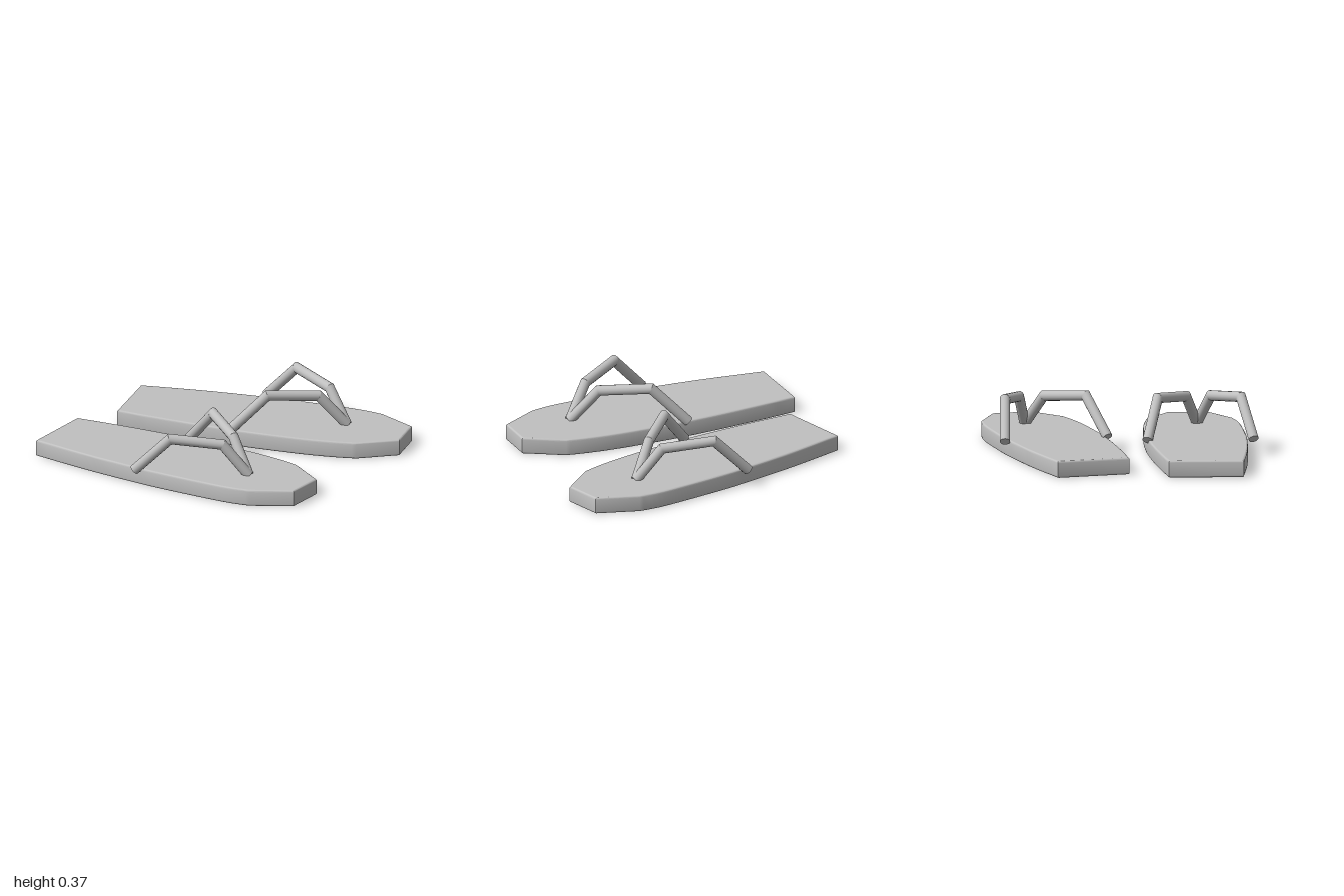
import * as THREE from 'three';
import { toCreasedNormals } from 'three/addons/utils/BufferGeometryUtils.js';

const rubber = new THREE.MeshStandardMaterial({ color: 0xc0c0c0, side: THREE.DoubleSide });
rubber.name = 'grey rubber';

const HEIGHT = 0.105, BEVEL = 0.012, STRAP_RADIUS = 0.032;

// Sole outline in plan as [x, z]: two curved sides joined by a straight heel and an angular toe
const OUTER_SIDE = [[-1, 0.587], [-0.6, 0.67], [-0.2, 0.73], [0, 0.75], [0.3, 0.769], [0.45, 0.771], [0.57, 0.757]];
const TOE = [[0.82, 0.64], [0.85, 0.39], [0.63, 0.225]];
const INNER_SIDE = [[0.5, 0.19], [0.3, 0.155], [0, 0.125], [-0.2, 0.115], [-0.4, 0.112], [-0.7, 0.115], [-0.95, 0.125]];

// Strap centre lines, from the edge of the sole over the foot to the toe post
const OUTER_STRAP = [[-0.225, 0.105, 0.765], [0, 0.332, 0.72], [0.29, 0.296, 0.575], [0.437, 0.1, 0.51]];
const INNER_STRAP = [[-0.175, 0.105, 0.11], [0.035, 0.332, 0.205], [0.285, 0.296, 0.42], [0.437, 0.1, 0.51]];

// Hollow sole: rounded top and bottom edges, open underneath
function makeSole(side) {
  const plan = (list) => list.map(([x, z]) => new THREE.Vector2(x, -z * side));
  const outer = plan(OUTER_SIDE);
  const shape = new THREE.Shape();
  shape.moveTo(outer[0].x, outer[0].y);
  shape.splineThru(outer.slice(1));
  for (const p of plan(TOE)) shape.lineTo(p.x, p.y);
  shape.splineThru(plan(INNER_SIDE));
  shape.closePath();

  const solid = new THREE.ExtrudeGeometry(shape, {
    depth: HEIGHT - 2 * BEVEL, bevelThickness: BEVEL, bevelSize: BEVEL,
    bevelOffset: -BEVEL, bevelSegments: 4, curveSegments: 3,
  });
  solid.translate(0, 0, BEVEL);

  // Leave out the bottom lid
  const src = solid.attributes.position;
  const kept = [];
  for (let i = 0; i < src.count; i += 3) {
    const corners = [i, i + 1, i + 2];
    if (corners.every((k) => src.getZ(k) < 1e-5)) continue;
    for (const k of corners) kept.push(src.getX(k), src.getY(k), src.getZ(k));
  }
  let shell = new THREE.BufferGeometry();
  shell.setAttribute('position', new THREE.Float32BufferAttribute(kept, 3));
  shell = toCreasedNormals(shell, 0.5);

  // Keep the footbed shading flat
  const pos = shell.attributes.position;
  for (let i = 0; i < pos.count; i += 3) {
    const corners = [i, i + 1, i + 2];
    if (corners.every((k) => pos.getZ(k) > HEIGHT - 1e-5)) {
      corners.forEach((k) => shell.attributes.normal.setXYZ(k, 0, 0, 1));
    }
  }
  shell.rotateX(-Math.PI / 2);
  const mesh = new THREE.Mesh(shell, rubber);
  mesh.name = 'sole';
  return mesh;
}

// Round strap made of straight lengths with mitred joints
function makeStrap(path, side, name) {
  const strap = new THREE.Group();
  strap.name = name;
  const pts = path.map(([x, y, z]) => new THREE.Vector3(x, y, z * side));
  const dirs = pts.slice(1).map((p, i) => p.clone().sub(pts[i]).normalize());
  const up = new THREE.Vector3(0, 1, 0);
  const v = new THREE.Vector3();

  dirs.forEach((dir, i) => {
    const a = pts[i], b = pts[i + 1];
    const length = a.distanceTo(b);
    const geo = new THREE.CylinderGeometry(STRAP_RADIUS, STRAP_RADIUS, length, 14, 1);
    geo.applyQuaternion(new THREE.Quaternion().setFromUnitVectors(up, dir));
    const mid = a.clone().add(b).multiplyScalar(0.5);
    geo.translate(mid.x, mid.y, mid.z);

    // Slide each end ring along the strap onto the plane shared with its neighbour
    const startNormal = dir.clone().add(dirs[i - 1] ?? dir).normalize();
    const endNormal = dir.clone().add(dirs[i + 1] ?? dir).normalize();
    const pos = geo.attributes.position;
    for (let k = 0; k < pos.count; k++) {
      v.fromBufferAttribute(pos, k);
      const atEnd = v.clone().sub(mid).dot(dir) > 0;
      const joint = atEnd ? b : a;
      const normal = atEnd ? endNormal : startNormal;
      v.addScaledVector(dir, joint.clone().sub(v).dot(normal) / dir.dot(normal));
      pos.setXYZ(k, v.x, v.y, v.z);
    }
    const mesh = new THREE.Mesh(geo, rubber);
    mesh.name = ['strapEnd', 'strapTop', 'toePost'][i];
    strap.add(mesh);
  });
  return strap;
}

// side is 1 for the sandal at +z and -1 for its mirrored partner
function makeSandal(side, name) {
  const sandal = new THREE.Group();
  sandal.name = name;
  sandal.add(
    makeSole(side),
    makeStrap(OUTER_STRAP, side, 'outerStrap'),
    makeStrap(INNER_STRAP, side, 'innerStrap'),
  );
  return sandal;
}

export function createModel() {
  const model = new THREE.Group();
  model.name = 'sandals';
  const front = makeSandal(1, 'frontSandal');
  const rear = makeSandal(-1, 'rearSandal');
  // The rear sandal sits further forward and is turned slightly
  rear.rotation.y = THREE.MathUtils.degToRad(2.6);
  rear.position.set(0.167, 0, -0.014);
  model.add(front, rear);
  return model;
}
